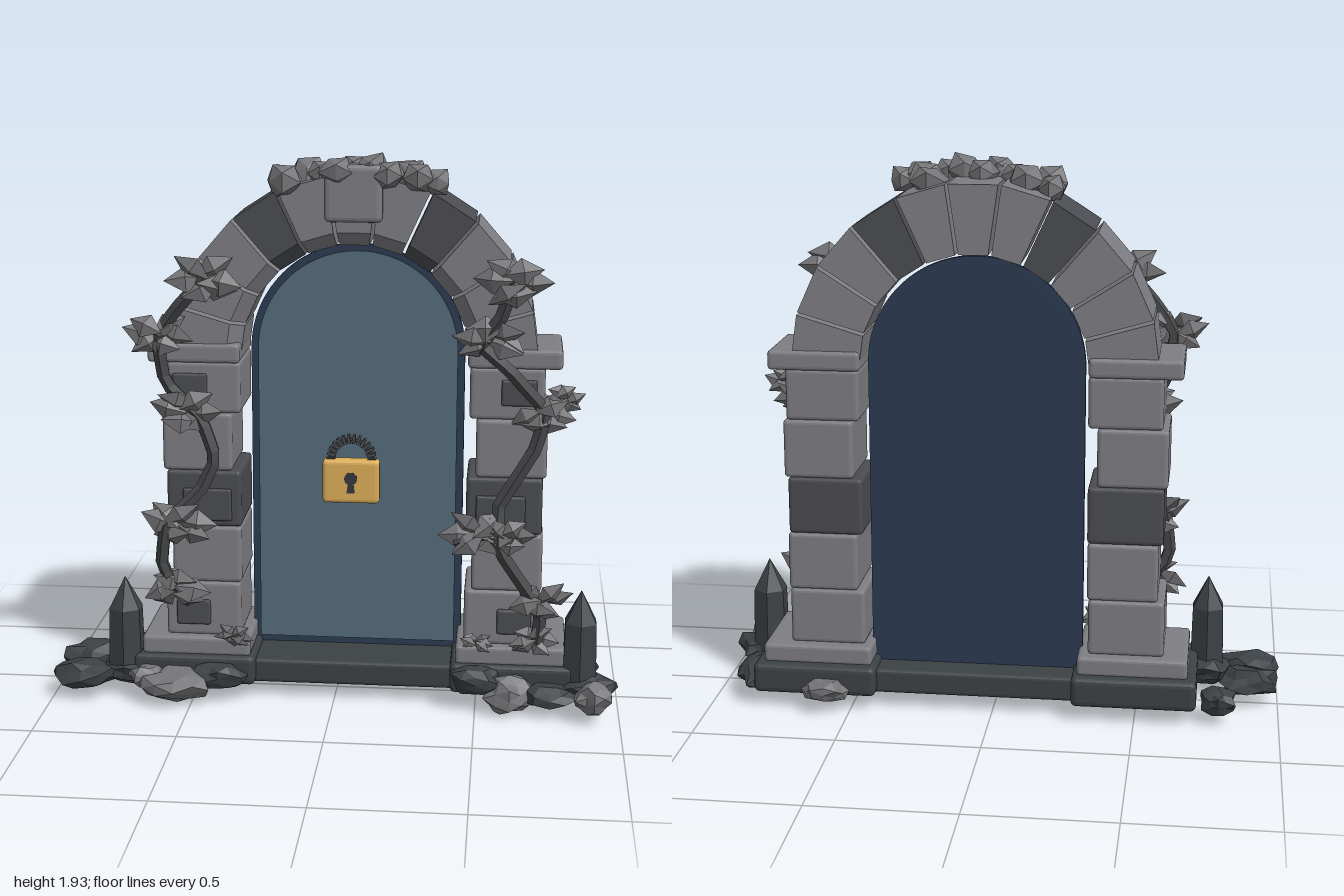
import * as THREE from 'three';
import { RoundedBoxGeometry } from 'three/addons/geometries/RoundedBoxGeometry.js';
import { ConvexGeometry } from 'three/addons/geometries/ConvexGeometry.js';

const CX = 0.065;      // door axis
const SPRING = 1.24;   // height of the arch centre

function material(name, color) {
  const m = new THREE.MeshStandardMaterial({ color, flatShading: true });
  m.name = name;
  return m;
}

export function createModel() {
  const model = new THREE.Group();
  model.name = 'stoneDoorway';
  const stone = material('stone', 0x7e7d83);
  const darkStone = material('darkStone', 0x4b4c51);
  const slate = material('slate', 0x3c4145);
  const leafGrey = material('leafGrey', 0x757578);
  const vineGrey = material('vineGrey', 0x454648);
  const doorBlue = material('doorBlue', 0x546c7a);
  const frameNavy = material('frameNavy', 0x2b3b51);
  const gold = material('gold', 0xdcae58);
  const iron = material('iron', 0x35383c);

  let seed = 7;
  const rand = () => (seed = (seed * 16807) % 2147483647) / 2147483647;
  const vary = (a) => (rand() * 2 - 1) * a;

  function add(name, geometry, mat, x = 0, y = 0, z = 0, parent = model) {
    const mesh = new THREE.Mesh(geometry, mat);
    mesh.name = name;
    mesh.position.set(x, y, z);
    parent.add(mesh);
    return mesh;
  }

  // Softly bevelled block given by centre x, width, y range and z range
  function block(name, mat, x, w, y0, y1, z0, z1, r = 0.014) {
    const geo = new RoundedBoxGeometry(w, y1 - y0, z1 - z0, 2, r);
    return add(name, geo, mat, x, (y0 + y1) / 2, (z0 + z1) / 2);
  }

  // Chipped boulder: an icosphere whose shared corners move together
  function rock(name, mat, x, y, z, rx, ry, rz, detail = 1) {
    const geo = new THREE.IcosahedronGeometry(1, detail);
    const p = geo.attributes.position;
    const moved = new Map();
    for (let i = 0; i < p.count; i++) {
      const key = [p.getX(i), p.getY(i), p.getZ(i)].map((v) => Math.round(v * 100)).join();
      if (!moved.has(key)) moved.set(key, 0.92 + vary(0.2));
      const s = moved.get(key);
      p.setXYZ(i, p.getX(i) * s * rx, p.getY(i) * s * ry, p.getZ(i) * s * rz);
    }
    geo.computeVertexNormals();
    return add(name, geo, mat, x, y, z);
  }

  // Arched door: navy slab with a lighter face
  function archShape(r, y0) {
    const s = new THREE.Shape();
    s.moveTo(-r, y0);
    s.lineTo(r, y0);
    s.lineTo(r, SPRING);
    s.absarc(0, SPRING, r, 0, Math.PI, false);
    s.lineTo(-r, y0);
    return s;
  }
  const extrude = (shape, depth) =>
    new THREE.ExtrudeGeometry(shape, { depth, bevelEnabled: false, curveSegments: 28 });
  add('doorSlab', extrude(archShape(0.375, 0.14), 0.022), frameNavy, CX, 0, -0.097);
  add('doorFace', extrude(archShape(0.35, 0.175), 0.008), doorBlue, CX, 0, -0.076);

  // Threshold
  block('threshold', slate, CX, 0.78, 0.065, 0.152, -0.2, 0.12);

  // Pillar courses: y0, y1, width, material, axis distance on the right and left
  const courses = [
    [0.232, 0.431, 0.265, stone, 0.53, 0.522],
    [0.431, 0.636, 0.245, stone, 0.515, 0.535],
    [0.636, 0.838, 0.262, darkStone, 0.522, 0.522],
    [0.838, 1.044, 0.243, stone, 0.543, 0.543],
    [1.044, 1.225, 0.255, stone, 0.517, 0.525],
  ];
  for (const side of [-1, 1]) {
    const at = (d) => CX + side * d;
    block('pillarBase', slate, at(0.562), 0.435, 0.065, 0.172, -0.25, 0.16, 0.02);
    block('pillarPlinth', stone, at(0.555), 0.385, 0.165, 0.235, -0.21, 0.14);
    for (const [y0, y1, w, mat, dRight, dLeft] of courses)
      block('pillarBlock', mat, at(side < 0 ? dRight : dLeft), w, y0, y1, -0.17, 0.108);
    block('pillarCap', stone, at(0.55), 0.32, 1.222, 1.29, -0.185, 0.118);
    for (const y of [0.275, 1.095])
      block('inlayStone', darkStone, at(0.565), 0.12, y, y + 0.09, 0.09, 0.122, 0.008);
    block('inlayStone', darkStone, at(0.51), 0.17, 0.66, 0.775, 0.09, 0.122, 0.008);

    // Pointed hexagonal post
    const x = side < 0 ? -0.745 : 0.862;
    add('spikePost', new THREE.CylinderGeometry(0.062, 0.068, 0.25, 6), slate, x, 0.205, 0.11);
    add('spikeTip', new THREE.ConeGeometry(0.062, 0.115, 6), slate, x, 0.3875, 0.11);
  }

  // Arch stones, each with a chamfered lower front edge
  const count = 11, step = Math.PI / count, gap = 0.011;
  const profile = [[0.44, 0.108], [0.63, 0.108], [0.63, -0.17], [0.392, -0.17], [0.392, 0.06]];
  for (let i = 0; i < count; i++) {
    const pts = [];
    for (const [r, z] of profile)
      for (const s of [-1, 1]) {
        const a = (i + 0.5) * step + s * (step / 2 - gap / r / 2);
        pts.push(new THREE.Vector3(Math.cos(a) * r, Math.sin(a) * r, z));
      }
    const dark = Math.abs(i - 5) === 2;
    add('archStone', new ConvexGeometry(pts), dark ? darkStone : stone, CX, SPRING, 0);
  }
  block('keystone', stone, CX, 0.195, 1.714, 1.906, 0.06, 0.142, 0.018);

  // Padlock
  block('lockBody', gold, CX, 0.195, 0.76, 0.912, 0.145, 0.199, 0.014);
  const keyhole = new THREE.Shape();
  keyhole.absarc(0, 0, 0.022, -1.1, Math.PI + 1.1, false);
  keyhole.lineTo(-0.014, -0.05);
  keyhole.lineTo(0.014, -0.05);
  add('keyhole', extrude(keyhole, 0.005), iron, CX, 0.848, 0.197);
  const links = 13;
  for (let i = 0; i <= links; i++) {
    const a = (i / links) * Math.PI;
    const link = add('shackleLink', new THREE.BoxGeometry(0.03, 0.01, 0.026), darkStone,
      CX + Math.cos(a) * 0.07, 0.91 + Math.sin(a) * 0.072, 0.168);
    link.rotation.z = a;
  }
  add('shackleCore', new THREE.TorusGeometry(0.07, 0.007, 6, 20, Math.PI), darkStone, CX, 0.91, 0.168);

  // Climbing vines with kinked, nearly straight runs
  function vine(points, radius) {
    const nodes = points.map((p) => new THREE.Vector3(...p));
    const curve = new THREE.CatmullRomCurve3(nodes, false, 'catmullrom', 0.1);
    add('vine', new THREE.TubeGeometry(curve, points.length * 3, radius, 5), vineGrey);
  }
  vine([[-0.43, 1.53, 0.18], [-0.53, 1.42, 0.16], [-0.6, 1.32, 0.14], [-0.58, 1.16, 0.13],
    [-0.46, 1.03, 0.12], [-0.41, 0.89, 0.13], [-0.46, 0.78, 0.14], [-0.58, 0.66, 0.17],
    [-0.6, 0.5, 0.16], [-0.5, 0.37, 0.15]], 0.024);
  vine([[0.6, 1.54, 0.18], [0.57, 1.42, 0.16], [0.5, 1.31, 0.14], [0.6, 1.22, 0.13],
    [0.72, 1.08, 0.11], [0.69, 0.95, 0.12], [0.57, 0.75, 0.14], [0.57, 0.61, 0.17],
    [0.64, 0.5, 0.16], [0.72, 0.38, 0.15], [0.71, 0.26, 0.14]], 0.024);
  vine([[0.57, 0.62, 0.17], [0.5, 0.65, 0.17], [0.42, 0.62, 0.17]], 0.014);

  // Leaf clumps: x, y, z, size
  const clumps = [
    [-0.43, 1.53, 0.18, 1.05], [-0.6, 1.33, 0.15, 0.95], [-0.51, 1.06, 0.13, 1],
    [-0.54, 0.66, 0.17, 1.05], [-0.55, 0.42, 0.16, 0.95], [-0.35, 0.25, 0.15, 0.55],
    [0.6, 1.53, 0.18, 1.05], [0.53, 1.33, 0.15, 1], [0.71, 1.07, 0.11, 0.9],
    [0.78, 1.12, 0.1, 0.6], [0.49, 0.66, 0.17, 1], [0.6, 0.65, 0.17, 0.8],
    [0.72, 0.42, 0.16, 0.9], [0.7, 0.27, 0.15, 0.7], [0.5, 0.25, 0.14, 0.45],
  ];
  const leafGeometry = new THREE.OctahedronGeometry(1, 0);
  for (const [x, y, z, size] of clumps) {
    const clump = new THREE.Group();
    clump.name = 'leafClump';
    clump.position.set(x, y, z);
    for (let i = 0; i < 6; i++) {
      const a = (i / 6) * Math.PI * 2 + vary(0.4), d = 0.048 * size;
      const leaf = add('leaf', leafGeometry, leafGrey,
        Math.cos(a) * d * 1.3, Math.sin(a) * d * 0.8, vary(0.014), clump);
      leaf.scale.set(0.07 * size, 0.046 * size, 0.026 * size);
      leaf.rotation.set(vary(0.6), vary(0.4), Math.sin(a) * Math.cos(a) + vary(0.3));
    }
    model.add(clump);
  }

  // Rubble on top of the arch: x, y, z, radius
  const rubble = [
    [-0.17, 1.845, 0.09, 0.068], [-0.18, 1.84, -0.05, 0.058], [-0.1, 1.86, -0.02, 0.07],
    [-0.05, 1.87, 0.05, 0.055], [0.01, 1.88, 0.11, 0.066], [0.06, 1.88, 0.02, 0.065],
    [0.12, 1.885, 0.08, 0.072], [0.18, 1.87, 0.11, 0.058], [0.23, 1.86, -0.05, 0.07],
    [0.25, 1.855, 0.04, 0.07], [0.28, 1.86, 0.1, 0.06], [0.345, 1.845, 0.09, 0.055],
  ];
  for (const [x, y, z, r] of rubble) rock('topRubble', leafGrey, x, y, z, r, r * 0.9, r, 0);

  // Boulders around the foot: x, y, z, rx, ry, rz
  const boulders = [
    [-0.89, 0.09, 0.15, 0.12, 0.06, 0.085], [-0.89, 0.1, -0.01, 0.115, 0.06, 0.065],
    [-0.79, 0.09, -0.19, 0.068, 0.05, 0.068], [-0.74, 0.1, 0.1, 0.1, 0.05, 0.1],
    [0.87, 0.09, -0.08, 0.065, 0.05, 0.16], [0.89, 0.1, 0.13, 0.11, 0.055, 0.09],
    [0.76, 0.08, 0.17, 0.11, 0.05, 0.08], [0.5, 0.12, 0.17, 0.1, 0.06, 0.06],
    [-0.4, 0.11, 0.17, 0.1, 0.05, 0.06],
  ];
  for (const b of boulders) rock('boulder', slate, ...b);
  const paleBoulders = [
    [-0.55, 0.08, 0.2, 0.13, 0.065, 0.09], [-0.66, 0.1, 0.17, 0.07, 0.045, 0.06],
    [0.91, 0.1, 0.25, 0.07, 0.065, 0.06], [0.62, 0.075, 0.18, 0.1, 0.07, 0.07],
    [0.58, 0.09, -0.25, 0.085, 0.05, 0.07],
  ];
  for (const b of paleBoulders) rock('paleBoulder', leafGrey, ...b);

  return model;
}
